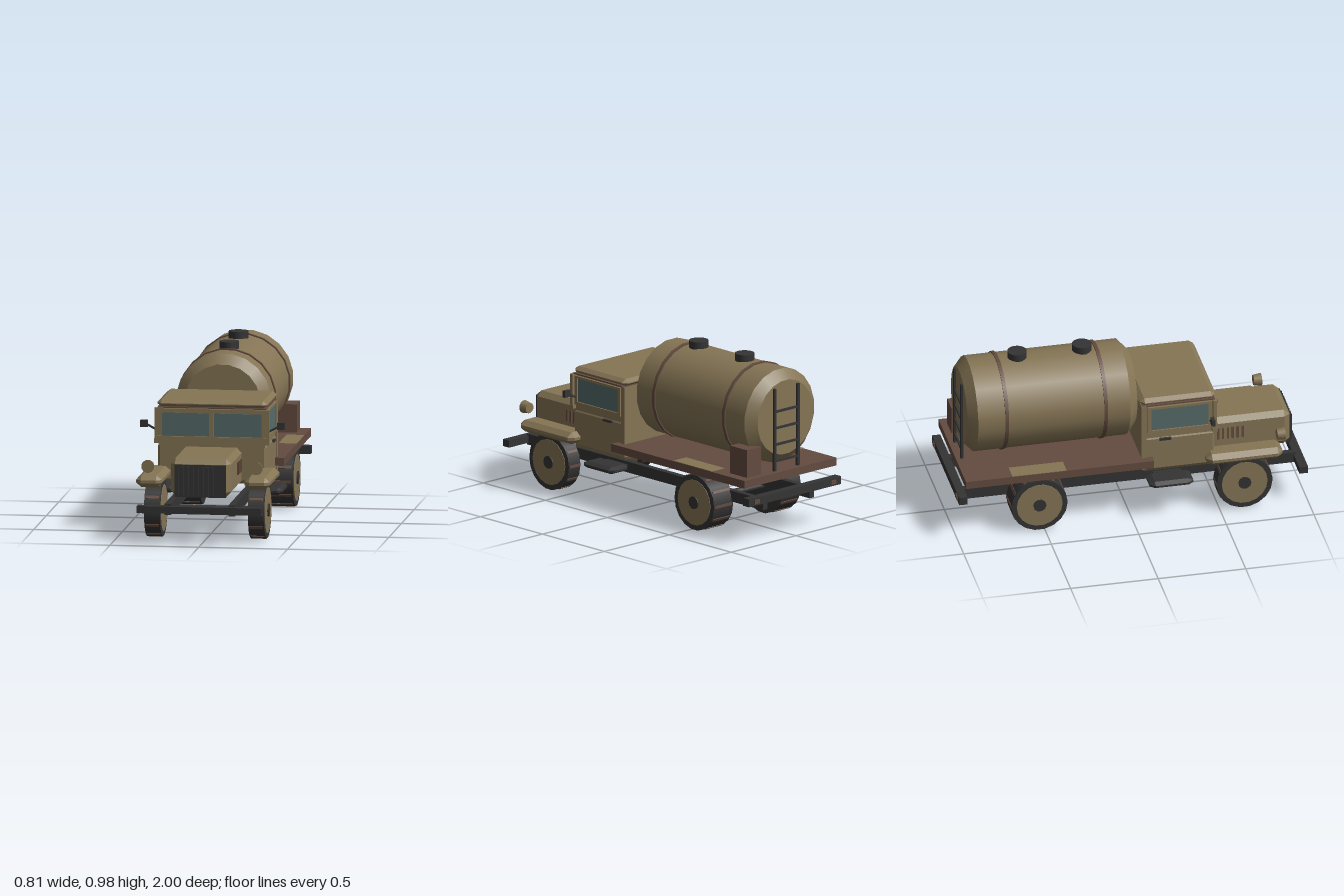
import * as THREE from 'three';
import { ConvexGeometry } from 'three/addons/geometries/ConvexGeometry.js';

const mat = (name, color) => Object.assign(new THREE.MeshStandardMaterial({ color }), { name });

export function createModel() {
  const tan = mat('sand paint', 0x857555);
  const brown = mat('brown wood', 0x644c40);
  const dark = mat('dark metal', 0x343435);
  const glass = mat('window glass', 0x566c6b);
  const truck = new THREE.Group();
  truck.name = 'tankerTruck';

  const add = (name, geo, material, x = 0, y = 0, z = 0, parent = truck) => {
    const m = new THREE.Mesh(geo, material);
    m.name = name;
    m.position.set(x, y, z);
    parent.add(m);
    return m;
  };
  // box given by its min and max on each axis
  const box = (name, material, x0, x1, y0, y1, z0, z1, parent) =>
    add(name, new THREE.BoxGeometry(Math.abs(x1 - x0), y1 - y0, z1 - z0), material,
      (x0 + x1) / 2, (y0 + y1) / 2, (z0 + z1) / 2, parent);
  // same, with every edge cut by a chamfer of b = [bx, by, bz]
  const chamferBox = (name, material, x0, x1, y0, y1, z0, z1, [bx, by, bz]) => {
    const hx = Math.abs(x1 - x0) / 2, hy = (y1 - y0) / 2, hz = (z1 - z0) / 2;
    const pts = [];
    for (const i of [-1, 1]) for (const j of [-1, 1]) for (const k of [-1, 1]) {
      pts.push(new THREE.Vector3(i * hx, j * (hy - by), k * (hz - bz)));
      pts.push(new THREE.Vector3(i * (hx - bx), j * hy, k * (hz - bz)));
      pts.push(new THREE.Vector3(i * (hx - bx), j * (hy - by), k * hz));
    }
    return add(name, new ConvexGeometry(pts), material, (x0 + x1) / 2, (y0 + y1) / 2, (z0 + z1) / 2);
  };
  // cylinder along z; rFront is the radius at the +z end
  const zCyl = (rFront, rBack, len, seg, open = false) =>
    new THREE.CylinderGeometry(rFront, rBack, len, seg, 1, open, Math.PI / seg).rotateX(Math.PI / 2);
  // cylinder along x
  const xCyl = (r, len, seg, open = false) =>
    new THREE.CylinderGeometry(r, r, len, seg, 1, open).rotateZ(Math.PI / 2);

  // tank with chamfered ends, straps and filler caps
  const tankY = 0.67;
  add('tankBody', zCyl(0.27, 0.27, 0.87, 20, true), tan, 0, tankY, -0.43);
  add('tankFrontEnd', zCyl(0.215, 0.27, 0.05, 20), tan, 0, tankY, 0.03);
  add('tankRearEnd', zCyl(0.27, 0.215, 0.05, 20), tan, 0, tankY, -0.89);
  for (const z of [-0.135, -0.7]) add('tankStrap', zCyl(0.277, 0.277, 0.02, 20), brown, 0, tankY, z);
  for (const z of [-0.215, -0.585])
    add('fillerCap', new THREE.CylinderGeometry(0.055, 0.055, 0.055, 14), dark, 0, 0.9475, z);

  // ladder on the rear of the tank
  for (const x of [-0.09, 0.09]) box('ladderRail', dark, x - 0.008, x + 0.008, 0.375, 0.85, -0.928, -0.912);
  for (let i = 0; i < 4; i++) box('ladderRung', dark, -0.09, 0.09, 0.425 + i * 0.095, 0.437 + i * 0.095, -0.926, -0.914);

  // load bed with tool box
  box('bed', brown, -0.355, 0.355, 0.33, 0.375, -0.955, 0.12);
  box('toolBox', brown, 0.19, 0.3, 0.375, 0.535, -0.918, -0.782);

  // chassis
  box('frontBumper', dark, -0.35, 0.35, 0.185, 0.225, 0.95, 1);
  box('rearBumper', dark, -0.355, 0.355, 0.23, 0.275, -0.993, -0.945);
  for (const z of [0.64, -0.53]) add('axle', xCyl(0.02, 0.5, 10), dark, 0, 0.162, z);

  // hood and grille
  chamferBox('hood', tan, -0.17, 0.17, 0.272, 0.487, 0.46, 0.94, [0.027, 0.03, 0.035]);
  box('grille', dark, -0.145, 0.145, 0.272, 0.455, 0.92, 0.945);
  for (let i = 0; i < 10; i++) {
    const x = -0.126 + i * 0.028;
    box('grilleBar', dark, x - 0.007, x + 0.007, 0.285, 0.445, 0.94, 0.955);
  }

  // cab
  chamferBox('cabLower', tan, -0.305, 0.305, 0.28, 0.505, 0.06, 0.475, [0.012, 0.02, 0.012]);
  box('cabUpper', tan, -0.3, 0.3, 0.485, 0.705, 0.065, 0.475);
  box('cabRearPillar', tan, -0.312, 0.312, 0.3, 0.705, 0.057, 0.085);
  box('windscreenFrame', tan, -0.323, 0.323, 0.525, 0.7, 0.465, 0.486);
  box('cowlBand', tan, -0.325, 0.325, 0.503, 0.526, 0.46, 0.49);
  box('windscreenSill', tan, -0.31, 0.31, 0.526, 0.543, 0.48, 0.495);
  box('windscreenHeader', tan, -0.31, 0.31, 0.678, 0.7, 0.48, 0.495);
  box('windscreenPost', tan, -0.012, 0.012, 0.543, 0.678, 0.48, 0.495);
  box('roofGutter', brown, -0.306, 0.306, 0.7, 0.706, 0.06, 0.478);
  chamferBox('roof', tan, -0.31, 0.31, 0.704, 0.745, 0.053, 0.482, [0.025, 0.018, 0.025]);

  for (const s of [-1, 1]) {
    // mirrored parts of the chassis, bed and hood
    box('frameRail', dark, s * 0.162, s * 0.198, 0.173, 0.235, -0.94, 0.965);
    box('tailLight', brown, s * 0.275, s * 0.315, 0.24, 0.265, -0.999, -0.99);
    box('bedPlate', tan, s * 0.255, s * 0.355, 0.374, 0.378, -0.69, -0.38);
    for (let i = 0; i < 6; i++) {
      const z = 0.525 + i * 0.028;
      box('hoodLouver', brown, s * 0.165, s * 0.177, 0.36, 0.43, z - 0.006, z + 0.006);
    }
    box('step', dark, s * 0.3, s * 0.21, 0.21, 0.225, 0.14, 0.3);
    chamferBox('stepPad', dark, s * 0.23, s * 0.375, 0.197, 0.237, 0.095, 0.345, [0.025, 0.014, 0.03]);
    chamferBox('fender', tan, s * 0.232, s * 0.377, 0.305, 0.372, 0.42, 0.855, [0.03, 0.025, 0.03]);

    // headlight
    add('headlight', zCyl(0.037, 0.03, 0.045, 12), tan, s * 0.305, 0.43, 0.853);

    // windows with raised side frames
    box('windscreen', glass, s * 0.015, s * 0.28, 0.545, 0.675, 0.483, 0.489);
    box('sideWindow', glass, s * 0.298, s * 0.304, 0.545, 0.68, 0.115, 0.44);
    box('windowSill', tan, s * 0.298, s * 0.312, 0.527, 0.545, 0.095, 0.46);
    box('windowHeader', tan, s * 0.298, s * 0.312, 0.68, 0.694, 0.095, 0.46);
    for (const z of [0.095, 0.44]) box('windowPost', tan, s * 0.298, s * 0.312, 0.545, 0.68, z, z + 0.02);
    box('doorHandle', dark, s * 0.3, s * 0.317, 0.478, 0.49, 0.16, 0.228);

    // mirror on a slanted arm
    const arm = box('mirrorArm', dark, -0.035, 0.035, -0.005, 0.005, -0.005, 0.005);
    arm.position.set(s * 0.345, 0.588, 0.45);
    arm.rotation.z = s * 0.5;
    box('mirror', dark, s * 0.365, s * 0.406, 0.586, 0.625, 0.438, 0.458);

    // wheels: the rear ones are wider and dark on the inside
    for (const [z, inner, outer, rear] of [[0.64, 0.248, 0.337, false], [-0.53, 0.188, 0.335, true]]) {
      const w = outer - inner;
      const wheel = new THREE.Group();
      wheel.name = rear ? 'rearWheel' : 'frontWheel';
      wheel.position.set(s * (inner + outer) / 2, 0.162, z);
      truck.add(wheel);
      add('tyre', xCyl(0.16, w, 18), dark, 0, 0, 0, wheel);
      add('wheelDisc', xCyl(0.131, 0.006, 18), tan, s * w / 2, 0, 0, wheel);
      if (!rear) add('innerDisc', xCyl(0.131, 0.006, 18), tan, -s * w / 2, 0, 0, wheel);
      add('hub', xCyl(0.037, 0.02, 10), dark, s * w / 2, 0, 0, wheel);
      for (let i = 0; i < 12; i++) {
        const a = i * Math.PI / 6;
        const lug = add('treadLug', new THREE.BoxGeometry(w * 0.86, 0.016, 0.008), brown,
          0, Math.sin(a) * 0.158, Math.cos(a) * 0.158, wheel);
        lug.rotation.x = -a;
      }
    }
  }
  return truck;
}
